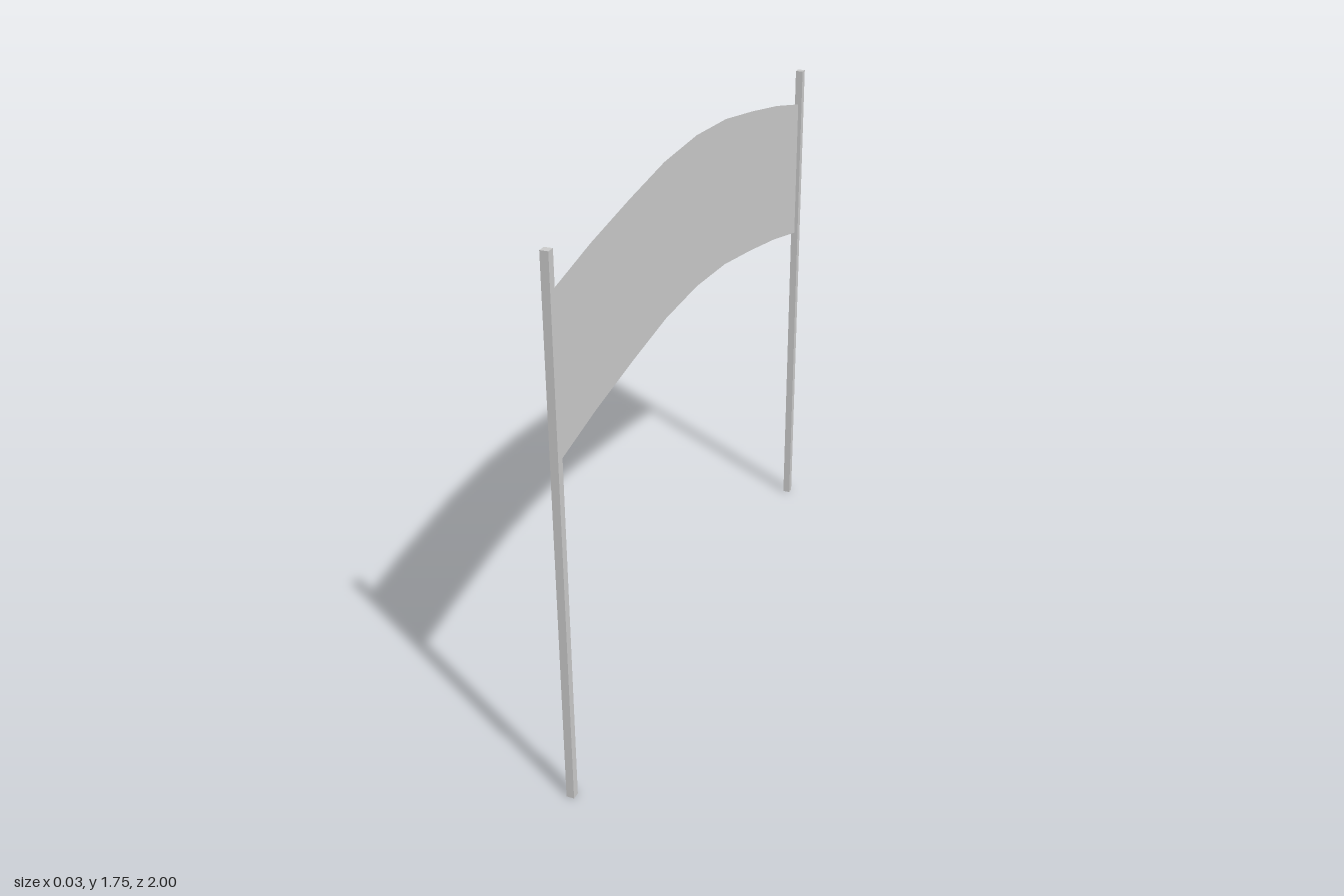
import * as THREE from 'three';

export function createModel() {
  const group = new THREE.Group();
  group.name = 'archedBanner';

  const grey = new THREE.MeshStandardMaterial({ color: 0xcccccc });
  grey.name = 'grey';
  const cloth = new THREE.MeshStandardMaterial({ color: 0xcccccc, side: THREE.DoubleSide });
  cloth.name = 'greyCloth';

  // Two slim square poles
  const poleWidth = 0.025, poleHeight = 1.73;
  const poleZ = 1 - poleWidth / 2;
  for (const side of [1, -1]) {
    const pole = new THREE.Mesh(new THREE.BoxGeometry(poleWidth, poleHeight, poleWidth), grey);
    pole.name = side > 0 ? 'frontPole' : 'backPole';
    pole.position.set(0, poleHeight / 2, side * poleZ);
    group.add(pole);
  }

  // Flat sheet between the poles, its top and bottom following the same arch
  const archTop = [1.755, 1.742, 1.705, 1.662, 1.607]; // centre to pole
  const sheetHeight = 0.49, segments = 8;
  const geometry = new THREE.PlaneGeometry(2 * poleZ, sheetHeight, segments, 1);
  geometry.rotateY(Math.PI / 2);
  const position = geometry.attributes.position;
  for (let i = 0; i < position.count; i++) {
    const step = Math.abs((i % (segments + 1)) - segments / 2);
    position.setY(i, position.getY(i) + archTop[step] - sheetHeight / 2);
  }
  geometry.computeVertexNormals();
  const banner = new THREE.Mesh(geometry, cloth);
  banner.name = 'banner';
  group.add(banner);

  return group;
}
